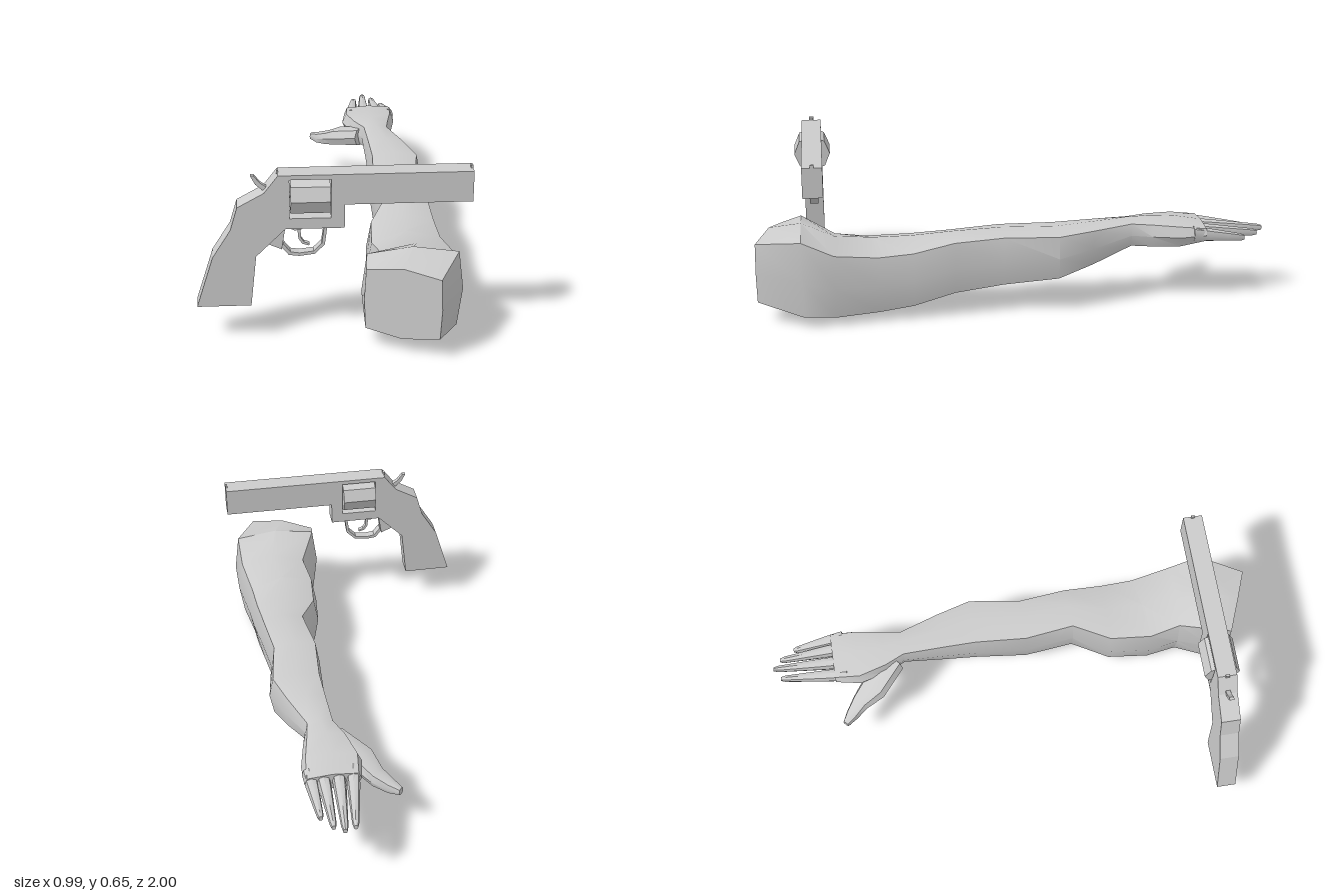
import * as THREE from 'three';
import { mergeVertices, toCreasedNormals } from 'three/addons/utils/BufferGeometryUtils.js';

const GUN_Z = 0.768;

export function createModel() {
  const model = new THREE.Group();
  const grey = new THREE.MeshStandardMaterial({ color: 0xcccccc });
  grey.name = 'grey';

  const add = (parent, name, geometry) => {
    const mesh = new THREE.Mesh(geometry, grey);
    mesh.name = name;
    parent.add(mesh);
    return mesh;
  };

  // ---------- helpers ----------
  // Flat side profile in x,y, extruded evenly about the gun's middle plane
  const plate = (points, depth, hole) => {
    const shape = new THREE.Shape(points.map(p => new THREE.Vector2(...p)));
    if (hole) shape.holes.push(new THREE.Path(hole.map(p => new THREE.Vector2(...p))));
    return new THREE.ExtrudeGeometry(shape, { depth, bevelEnabled: false })
      .translate(0, 0, GUN_Z - depth / 2);
  };

  // Eight-sided ring: side x up must point along the loft
  const ring = (centre, side, up, kx = 0.8, ky = 0.8) =>
    [[1, 0], [kx, ky], [0, 1], [-kx, ky], [-1, 0], [-kx, -ky], [0, -1], [kx, -ky]]
      .map(([a, b]) => centre.clone().addScaledVector(side, a).addScaledVector(up, b));

  // Skin over a row of rings, closed at both ends
  const loft = (rings, crease) => {
    const n = rings[0].length, pos = [], index = [];
    rings.forEach(r => r.forEach(p => pos.push(p.x, p.y, p.z)));
    for (let j = 0; j < rings.length - 1; j++) {
      for (let i = 0; i < n; i++) {
        const a = j * n + i, b = j * n + (i + 1) % n;
        index.push(a, b, b + n, a, b + n, a + n);
      }
    }
    const last = (rings.length - 1) * n;
    for (let i = 1; i < n - 1; i++) {
      index.push(0, i + 1, i, last, last + i, last + i + 1);
    }
    const g = new THREE.BufferGeometry();
    g.setAttribute('position', new THREE.Float32BufferAttribute(pos, 3));
    g.setIndex(index);
    return toCreasedNormals(mergeVertices(g), crease);
  };

  // Finger along a path of [x, y, z, half width, half height]
  const digit = path => {
    const pts = path.map(p => new THREE.Vector3(p[0], p[1], p[2]));
    return loft(path.map((p, i) => {
      const d = pts[Math.min(i + 1, pts.length - 1)].clone().sub(pts[Math.max(i - 1, 0)]);
      d.y = 0;
      const side = new THREE.Vector3(0, 1, 0).cross(d.normalize());
      return ring(pts[i], side.multiplyScalar(p[3]), new THREE.Vector3(0, p[4], 0), 0.75, 0.75);
    }), 0.7);
  };

  // ---------- revolver ----------
  const gun = new THREE.Group();
  gun.name = 'revolver';
  model.add(gun);

  add(gun, 'frameBarrelAndGrip', plate([
    [0.49, 0.645], [-0.2, 0.645], [-0.25, 0.58], [-0.345, 0.527], [-0.37, 0.44],
    [-0.435, 0.335], [-0.495, 0.14], [-0.3, 0.14], [-0.28, 0.335], [-0.175, 0.44],
    [0.035, 0.44], [0.035, 0.53], [0.49, 0.53],
  ], 0.076, [[-0.16, 0.48], [-0.013, 0.48], [-0.013, 0.628], [-0.16, 0.628]]));

  // Eight-sided drum lying along the barrel
  add(gun, 'drum', new THREE.CylinderGeometry(0.07, 0.07, 0.14, 8).toNonIndexed()
    .rotateZ(Math.PI / 2).translate(-0.0865, 0.555, GUN_Z)).geometry.computeVertexNormals();
  add(gun, 'drumAxle', new THREE.CylinderGeometry(0.012, 0.012, 0.16, 8)
    .rotateZ(Math.PI / 2).translate(-0.0865, 0.555, GUN_Z));

  add(gun, 'hammer', plate([
    [-0.24, 0.592], [-0.262, 0.607], [-0.283, 0.634], [-0.296, 0.635],
    [-0.279, 0.602], [-0.252, 0.578], [-0.235, 0.575],
  ], 0.018));
  add(gun, 'rearSight', plate([[-0.205, 0.64], [-0.197, 0.64], [-0.197, 0.654], [-0.205, 0.654]], 0.016));
  add(gun, 'frontSight', plate([[0.482, 0.64], [0.49, 0.64], [0.49, 0.656], [0.482, 0.656]], 0.014));

  add(gun, 'guardMount', plate([[-0.238, 0.377], [-0.188, 0.355], [-0.175, 0.44]], 0.05));
  add(gun, 'triggerGuard', plate([
    [-0.19, 0.362], [-0.163, 0.328], [-0.125, 0.323], [-0.07, 0.33], [-0.034, 0.366],
    [-0.025, 0.44], [-0.036, 0.44], [-0.045, 0.371], [-0.074, 0.341], [-0.125, 0.335],
    [-0.157, 0.34], [-0.182, 0.372],
  ], 0.034));
  add(gun, 'triggerBase', plate([[-0.175, 0.44], [-0.14, 0.425], [-0.115, 0.43], [-0.11, 0.44]], 0.04));
  add(gun, 'trigger', plate([
    [-0.132, 0.43], [-0.128, 0.388], [-0.114, 0.367], [-0.09, 0.36], [-0.088, 0.367],
    [-0.108, 0.374], [-0.119, 0.391], [-0.12, 0.43],
  ], 0.018));

  // ---------- arm ----------
  const arm = new THREE.Group();
  arm.name = 'arm';
  model.add(arm);

  // z at left edge, z at right edge, x min, x max, y min, y max, corner kx, ky
  const sections = [
    [0.89, 0.995, 0.1, 0.366, 0.06, 0.338, 0.96, 0.84],
    [0.82, 0.82, 0.095, 0.464, 0.022, 0.366, 0.9, 0.86],
    [0.69, 0.7, 0.155, 0.462, 0.003, 0.318, 0.87, 0.78],
    [0.57, 0.53, 0.135, 0.437, 0.004, 0.3, 0.87, 0.74],
    [0.4, 0.4, 0.15, 0.428, 0.025, 0.302, 0.87, 0.76],
    [0.25, 0.24, 0.222, 0.415, 0.078, 0.323, 0.85, 0.82],
    [0.05, 0.05, 0.195, 0.395, 0.1, 0.323, 0.85, 0.85],
    [-0.16, -0.16, 0.208, 0.426, 0.128, 0.325, 0.85, 0.85],
    [-0.3, -0.3, 0.208, 0.382, 0.165, 0.33, 0.85, 0.82],
    [-0.46, -0.46, 0.205, 0.325, 0.215, 0.334, 0.82, 0.75],
    [-0.54, -0.54, 0.165, 0.343, 0.21, 0.333, 0.82, 0.72],
    [-0.65, -0.65, 0.135, 0.365, 0.215, 0.325, 0.85, 0.72],
    [-0.75, -0.75, 0.153, 0.366, 0.243, 0.31, 0.9, 0.75],
  ];
  add(arm, 'forearmAndPalm', loft(sections.map(([zl, zr, x0, x1, y0, y1, kx, ky]) => ring(
    new THREE.Vector3((x0 + x1) / 2, (y0 + y1) / 2, (zl + zr) / 2),
    new THREE.Vector3((x0 - x1) / 2, 0, (zl - zr) / 2),
    new THREE.Vector3(0, (y1 - y0) / 2, 0), kx, ky)), 0.6));

  // Four fingers: base x, tip x, tip z, tip y
  [['indexFinger', 0.178, 0.212, -0.975, 0.25], ['middleFinger', 0.234, 0.254, -1.0, 0.262],
    ['ringFinger', 0.294, 0.291, -0.97, 0.256], ['littleFinger', 0.343, 0.329, -0.91, 0.25],
  ].forEach(([name, bx, tx, tz, ty]) => {
    const at = (t, w, h) => [bx + (tx - bx) * t, 0.28 + (ty - 0.28) * t, -0.7 + (tz + 0.7) * t, w, h];
    add(arm, name, digit([at(0, 0.026, 0.03), at(0.3, 0.024, 0.026), at(0.65, 0.018, 0.02),
      at(0.93, 0.013, 0.015), at(1, 0.008, 0.01)]));
  });

  add(arm, 'thumb', digit([
    [0.215, 0.262, -0.51, 0.055, 0.045], [0.12, 0.225, -0.605, 0.058, 0.042],
    [0.078, 0.193, -0.668, 0.038, 0.034], [0.035, 0.178, -0.708, 0.027, 0.026],
    [0.002, 0.174, -0.738, 0.014, 0.016],
  ]));

  return model;
}
